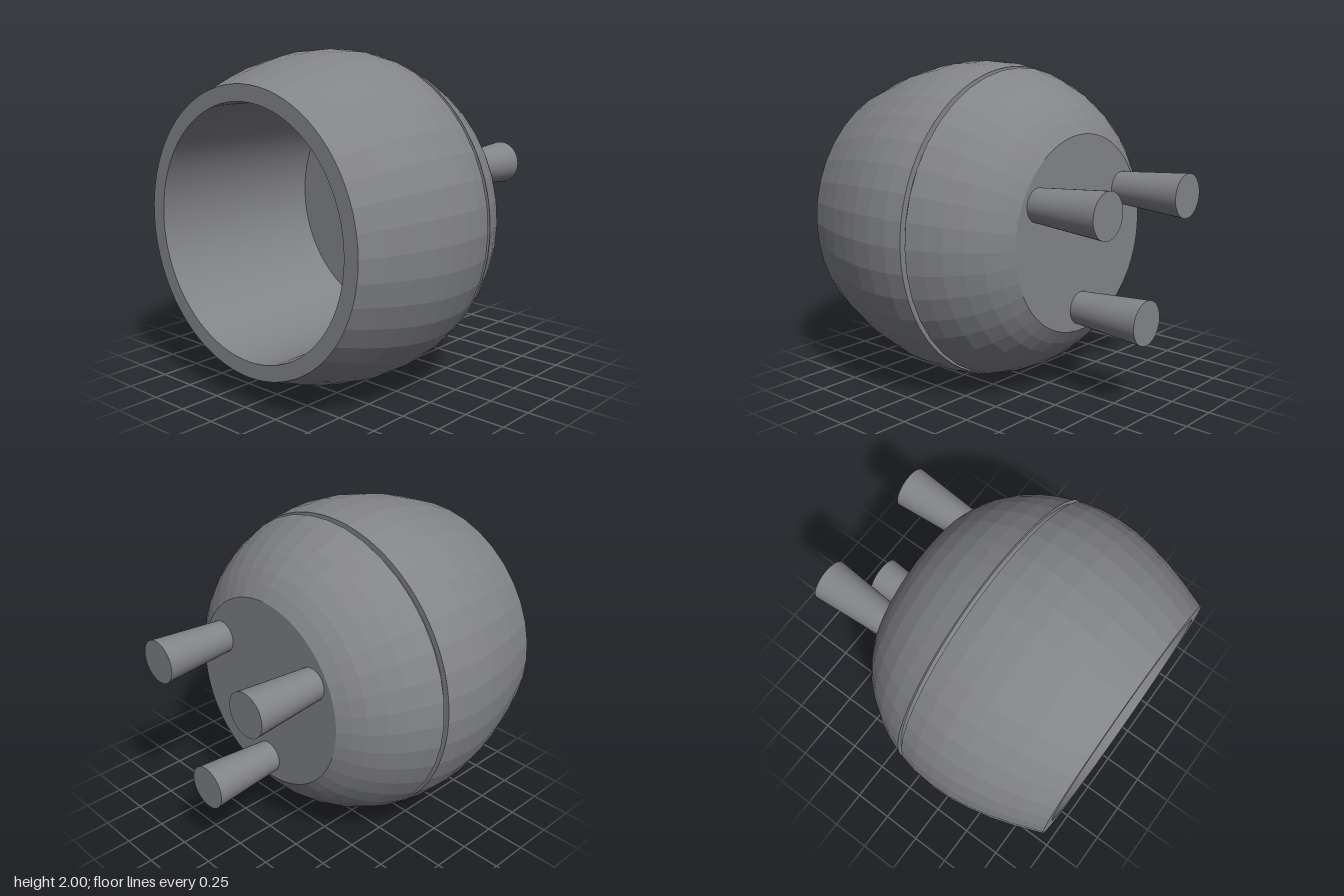
import * as THREE from 'three';

const grey = 0x838488;
const flat = new THREE.MeshStandardMaterial({ color: grey, flatShading: true });
const smooth = new THREE.MeshStandardMaterial({ color: grey });

// Revolve [radius, z] points around the z axis
function turned(name, points, material, sides) {
  const profile = points.map(([r, z]) => new THREE.Vector2(r, z));
  const geometry = new THREE.LatheGeometry(profile, sides).rotateX(Math.PI / 2);
  const mesh = new THREE.Mesh(geometry, material);
  mesh.name = name;
  return mesh;
}

export function createModel() {
  const model = new THREE.Group();
  model.name = 'hollowBarrel';
  const body = new THREE.Group();
  body.name = 'body';
  body.position.y = 1;
  model.add(body);

  // Faceted shells: domed rear, and front tapering to the open mouth
  body.add(turned('rearShell', [
    [0.595, -0.49], [0.672, -0.44], [0.738, -0.385], [0.812, -0.3],
    [0.878, -0.2], [0.926, -0.1], [0.963, 0],
  ], flat, 40));
  body.add(turned('frontShell', [
    [0.97, 0.03], [0.992, 0.14], [1, 0.27], [0.993, 0.4], [0.973, 0.52],
    [0.94, 0.66], [0.894, 0.8], [0.83, 0.965],
  ], flat, 40));

  // Flat back, and the narrow groove between the shells
  body.add(turned('backFace', [[0, -0.49], [0.595, -0.49]], flat, 80));
  body.add(turned('grooveRearWall', [[0.963, 0], [0.935, 0]], flat, 80));
  body.add(turned('grooveFloor', [[0.935, 0], [0.935, 0.03]], smooth, 80));
  body.add(turned('grooveFrontWall', [[0.935, 0.03], [0.97, 0.03]], flat, 80));

  // Mouth rim, cavity wall and cavity floor
  body.add(turned('rim', [[0.83, 0.965], [0.735, 0.965]], flat, 80));
  body.add(turned('cavityWall', [[0.735, 0.965], [0.735, -0.24]], smooth, 80));
  body.add(turned('cavityFloor', [[0.735, -0.24], [0, -0.24]], flat, 80));

  // Three flared pegs on the back
  const pegGeometry = new THREE.CylinderGeometry(0.1, 0.135, 0.475, 40).rotateX(Math.PI / 2);
  for (const [name, x, y] of [['leftPeg', 0.4, 0.23], ['rightPeg', -0.4, 0.23], ['lowerPeg', 0, -0.455]]) {
    const peg = new THREE.Mesh(pegGeometry, smooth);
    peg.name = name;
    peg.position.set(x, y, -0.7275);
    body.add(peg);
  }
  return model;
}
